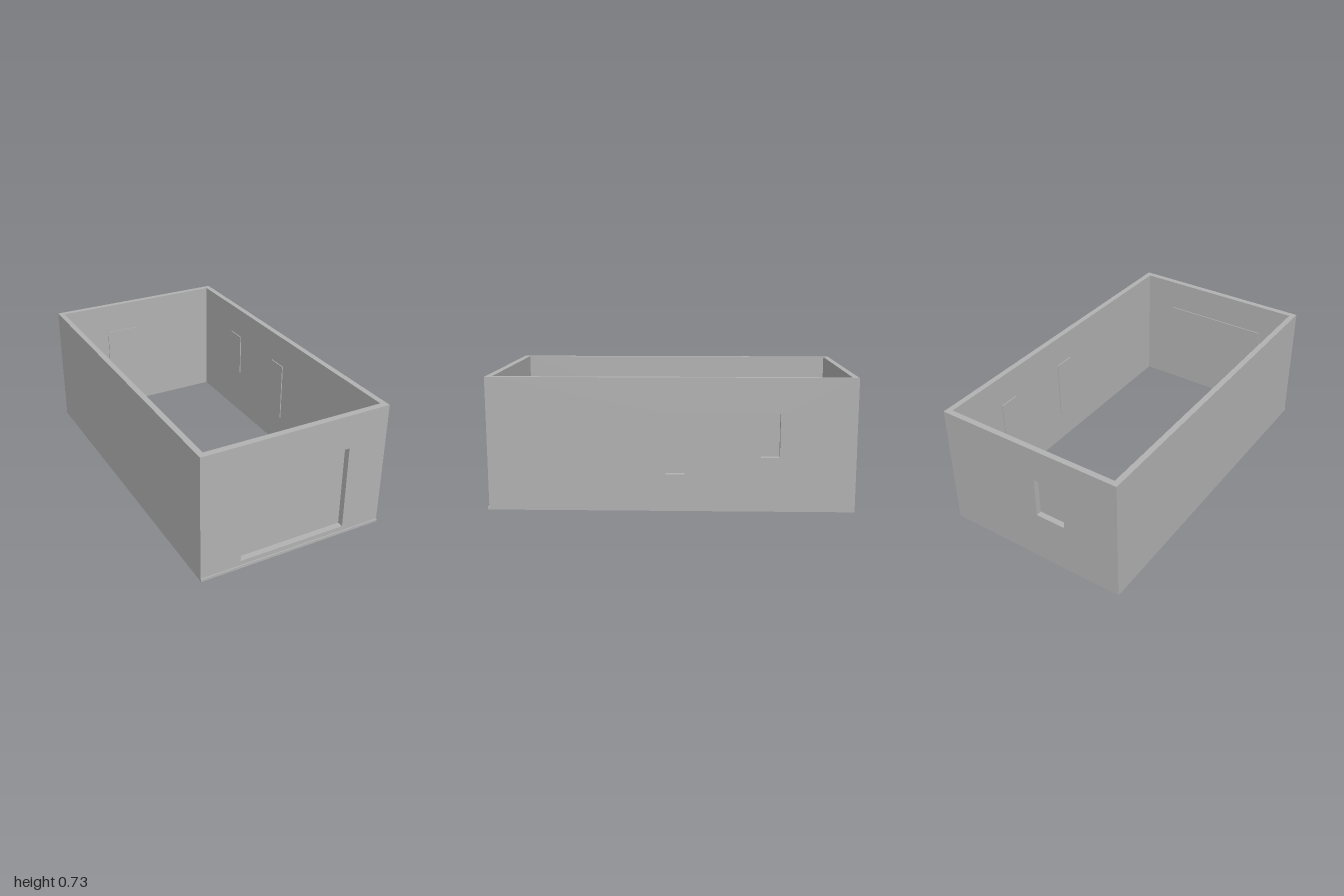
import * as THREE from 'three';

const HEIGHT = 0.733;
const LIP = 0.01;     // how far a panel overlaps its opening
const PANEL = 0.006;  // panel thickness

const grey = new THREE.MeshStandardMaterial({ color: 0xb2b2b2 });
grey.name = 'wallGrey';

// A wall in local x/y whose inner face is z = 0 and which thickens outwards to +z.
// Each opening [x0, x1, y0, y1] is closed by a thin panel on the inner face.
function makeWall(name, x0, x1, thickness, openings = []) {
  const wall = new THREE.Group();
  wall.name = name;

  const rect = (Type, a, b, c, d) => new Type([
    new THREE.Vector2(a, c), new THREE.Vector2(b, c),
    new THREE.Vector2(b, d), new THREE.Vector2(a, d),
  ]);
  const shape = rect(THREE.Shape, x0, x1, 0, HEIGHT);
  for (const o of openings) shape.holes.push(rect(THREE.Path, ...o));

  const slab = new THREE.Mesh(
    new THREE.ExtrudeGeometry(shape, { depth: thickness, bevelEnabled: false }), grey);
  slab.name = name + 'Slab';
  wall.add(slab);

  openings.forEach(([a, b, c, d], i) => {
    const panel = new THREE.Mesh(
      new THREE.BoxGeometry(b - a + 2 * LIP, d - c + 2 * LIP, PANEL), grey);
    panel.name = name + 'Panel' + (i + 1);
    panel.position.set((a + b) / 2, (c + d) / 2, -PANEL / 2);
    wall.add(panel);
  });
  return wall;
}

export function createModel() {
  const model = new THREE.Group();
  model.name = 'garageShell';
  const X = 0.552, INNER_X = 0.519;
  const FRONT = 0.993, INNER_FRONT = 0.957, INNER_BACK = -0.967;

  // Front wall with the wide door
  const front = makeWall('frontWall', -X, X, FRONT - INNER_FRONT, [[-0.319, 0.317, 0.042, 0.537]]);
  front.position.z = INNER_FRONT;

  // Back wall with one window (local x is mirrored)
  const back = makeWall('backWall', -X, X, INNER_BACK + 1, [[0.038, 0.219, 0.3, 0.538]]);
  back.rotation.y = Math.PI;
  back.position.z = INNER_BACK;

  // Wall on +x with a tall and a short window (local x is -z)
  const windowed = makeWall('windowedSideWall', -INNER_FRONT, -INNER_BACK, X - INNER_X, [
    [-0.026, 0.076, 0.205, 0.54],
    [0.487, 0.59, 0.3, 0.54],
  ]);
  windowed.rotation.y = Math.PI / 2;
  windowed.position.x = INNER_X;

  // Plain wall on -x (local x is z)
  const plain = makeWall('plainSideWall', INNER_BACK, INNER_FRONT, X - INNER_X);
  plain.rotation.y = -Math.PI / 2;
  plain.position.x = -INNER_X;

  // Low sill along the foot of the front wall
  const sill = new THREE.Mesh(new THREE.BoxGeometry(2 * X, 0.015, 1 - FRONT), grey);
  sill.name = 'frontSill';
  sill.position.set(0, 0.0075, (1 + FRONT) / 2);

  model.add(front, back, windowed, plain, sill);
  return model;
}
